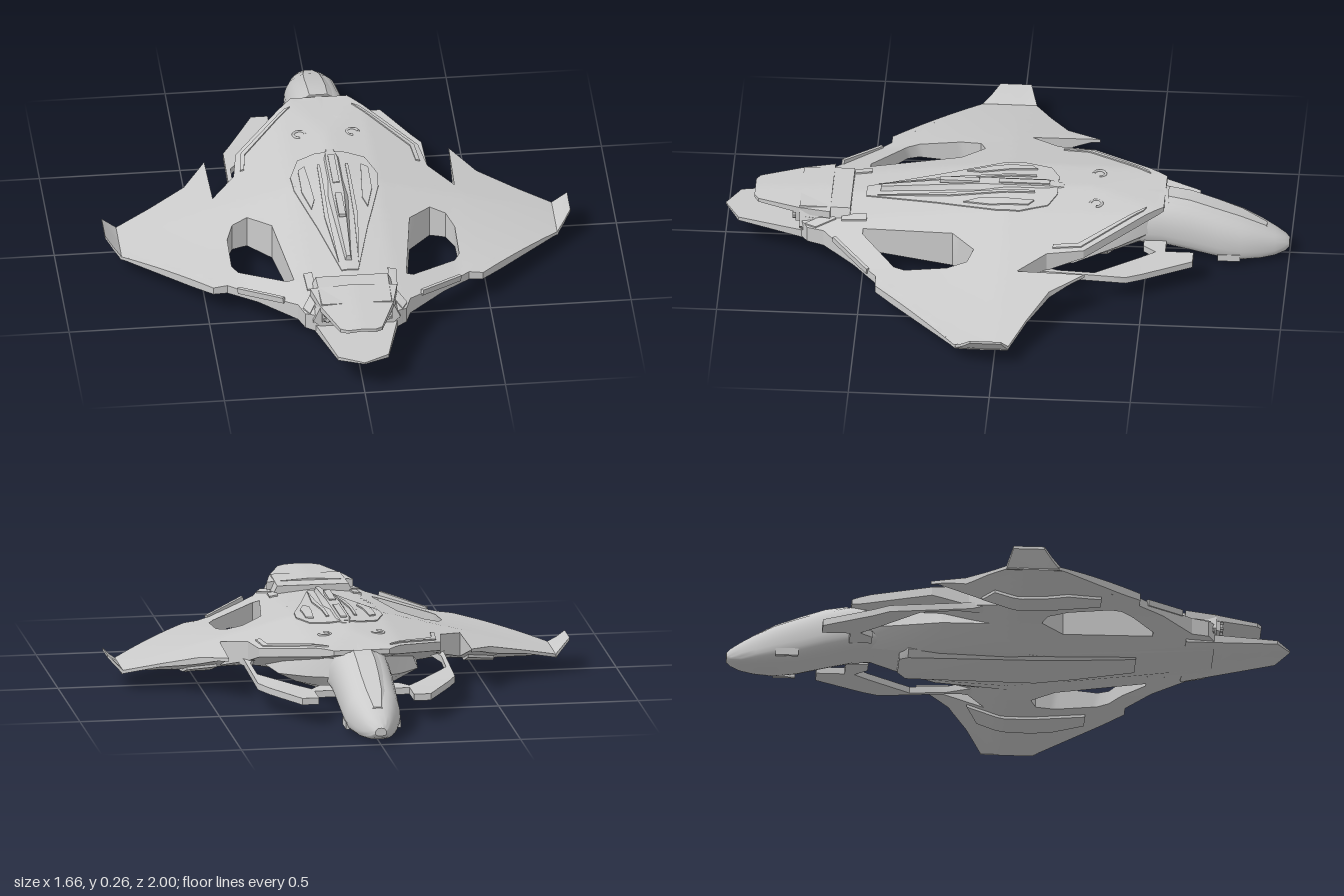
import * as THREE from 'three';
import { toCreasedNormals } from 'three/addons/utils/BufferGeometryUtils.js';

const material = new THREE.MeshStandardMaterial({ color: 0xcccccc, side: THREE.DoubleSide });

// Piecewise linear lookup in a list of [position, value]
function interp(table, v) {
  if (v <= table[0][0]) return table[0][1];
  for (let i = 1; i < table.length; i++) {
    const [a, p] = table[i - 1], [b, q] = table[i];
    if (v <= b) return p + (q - p) * (v - a) / (b - a);
  }
  return table[table.length - 1][1];
}

// Height rules of the wing shell
const crossTop = [[0, 0.25], [0.15, 0.235], [0.45, 0.157], [0.78, 0.068], [0.83, 0.125]];
const crossBottom = [[0, 0.03], [0.12, 0.03], [0.33, 0.06], [0.55, 0.052], [0.78, 0.055], [0.83, 0.115]];
const spine = [[-0.55, 0.238], [-0.3, 0.25], [0.15, 0.25], [0.4, 0.222], [0.9, 0.2]];
function shellTop(x, z) {
  const inboard = Math.max(0, 1 - Math.abs(x) / 0.78);
  return Math.min(interp(crossTop, Math.abs(x)) - 0.11 * Math.max(0, z) * Math.min(1, inboard * 2), interp(spine, z));
}
function shellBottom(x, z) {
  const rise = 0.34 * Math.max(0, -z) + 0.09 * Math.max(0, z - 0.1);
  return Math.min(interp(crossBottom, Math.abs(x)) + rise, shellTop(x, z) - 0.012);
}

// Splits long edges so that a flat plate can follow a curved rule
function subdivide(geometry, limit) {
  const p = geometry.toNonIndexed().attributes.position, out = [], stack = [];
  for (let i = 0; i < p.count; i += 3) stack.push([0, 1, 2].map(k => new THREE.Vector3().fromBufferAttribute(p, i + k)));
  while (stack.length) {
    const t = stack.pop();
    const lengths = t.map((v, k) => Math.hypot(v.x - t[(k + 1) % 3].x, v.z - t[(k + 1) % 3].z));
    const k = lengths.indexOf(Math.max(...lengths));
    if (lengths[k] <= limit) { t.forEach(v => out.push(v.x, v.y, v.z)); continue; }
    const a = t[k], b = t[(k + 1) % 3], c = t[(k + 2) % 3], m = a.clone().lerp(b, 0.5);
    stack.push([a, m, c], [m, b, c]);
  }
  return new THREE.BufferGeometry().setAttribute('position', new THREE.Float32BufferAttribute(out, 3));
}

// Plate from a plan outline in (x, z), with its two faces set by height rules
function plate(outline, holes, bottom, top, limit = 0.04) {
  const path = pts => pts.map(([x, z]) => new THREE.Vector2(x, -z));
  const shape = new THREE.Shape(path(outline));
  holes.forEach(h => shape.holes.push(new THREE.Path(path(h))));
  const flat = new THREE.ExtrudeGeometry(shape, { depth: 1, bevelEnabled: false, steps: 1 }).rotateX(-Math.PI / 2);
  const g = subdivide(flat, limit), p = g.attributes.position;
  for (let i = 0; i < p.count; i++) {
    const x = p.getX(i), z = p.getZ(i), t = p.getY(i);
    p.setY(i, bottom(x, z) * (1 - t) + top(x, z) * t);
  }
  return toCreasedNormals(g, 0.5);
}

// Loft along z: sections [z, halfWidth, bottom, top], profile in unit (u, v), anticlockwise
function loft(sections, profile, crease = 0.5) {
  const pos = [], idx = [], n = profile.length;
  for (const [z, w, b, t] of sections) for (const [u, v] of profile) pos.push(u * w, b + (t - b) * v, z);
  const last = (sections.length - 1) * n;
  for (let i = 0; i < last; i += n) for (let j = 0; j < n; j++) {
    const k = (j + 1) % n;
    idx.push(i + j, i + k, i + n + j, i + k, i + n + k, i + n + j);
  }
  for (let j = 1; j < n - 1; j++) idx.push(0, j + 1, j, last, last + j, last + j + 1);
  const g = new THREE.BufferGeometry().setAttribute('position', new THREE.Float32BufferAttribute(pos, 3));
  g.setIndex(idx);
  return toCreasedNormals(g, crease);
}

const flip = pts => pts.map(([x, z]) => [-x, z]);
const symmetric = half => [...half, ...flip(half).reverse()];

export function createModel() {
  const model = new THREE.Group();
  const add = (name, geometry, parent = model) => {
    const mesh = new THREE.Mesh(geometry, material);
    mesh.name = name;
    parent.add(mesh);
    return mesh;
  };
  const box = (name, w, h, d, x, y, z) => {
    const m = add(name, new THREE.BoxGeometry(w, h, d));
    m.position.set(x, y, z);
    return m;
  };

  // Wing shell with a large opening on each side
  const shell = symmetric([[0.1, -0.56], [0.14, -0.51], [0.325, -0.29], [0.345, -0.16], [0.43, -0.06], [0.435, -0.3],
    [0.52, -0.18], [0.65, -0.11], [0.78, -0.05], [0.78, 0.135], [0.48, 0.44], [0.43, 0.44], [0.2, 0.64], [0.18, 0.7], [0.14, 0.725]]);
  const opening = [[0.325, 0.1], [0.38, 0.12], [0.405, 0.19], [0.405, 0.34], [0.385, 0.38], [0.225, 0.5], [0.2, 0.5], [0.245, 0.18], [0.26, 0.165]];
  add('wingShell', plate(shell, [opening, flip(opening)], shellBottom, shellTop, 0.035));

  // Rounded nose and cockpit body
  const oval = [];
  for (let i = 0; i < 28; i++) {
    const a = i / 28 * Math.PI * 2, c = Math.cos(a), s = Math.sin(a);
    oval.push([Math.sign(c) * Math.abs(c) ** 0.75, s > 0 ? 0.35 + 0.65 * s ** 0.9 : 0.35 - 0.35 * Math.abs(s) ** 0.7]);
  }
  add('nose', loft([[-1, 0.02, 0.032, 0.06], [-0.985, 0.035, 0.02, 0.075], [-0.95, 0.055, 0.008, 0.097], [-0.9, 0.075, 0.001, 0.125],
    [-0.83, 0.096, 0, 0.158], [-0.75, 0.1, 0.01, 0.188], [-0.65, 0.104, 0.036, 0.221], [-0.55, 0.106, 0.06, 0.239],
    [-0.42, 0.115, 0.07, 0.244], [-0.25, 0.13, 0.06, 0.246]], oval, 0.7));

  // Raised canopy strip over the nose
  add('canopy', loft([[-0.92, 0.025, 0.09, 0.118], [-0.83, 0.05, 0.12, 0.163], [-0.74, 0.058, 0.15, 0.196],
    [-0.65, 0.06, 0.18, 0.227], [-0.57, 0.058, 0.2, 0.241]], [[-1, 0], [1, 0], [0.9, 0.65], [0.55, 1], [-0.55, 1], [-0.9, 0.65]]));

  // Faceted belly and flat keel
  const trough = [[-0.5, 0], [0.5, 0], [0.75, 0.18], [1, 0.45], [0.9, 1], [-0.9, 1], [-1, 0.45], [-0.75, 0.18]];
  add('belly', loft([[-0.52, 0.1, 0.075, 0.2], [-0.4, 0.17, 0.05, 0.18], [-0.25, 0.25, 0.035, 0.15], [0, 0.28, 0.028, 0.13],
    [0.17, 0.235, 0.035, 0.14], [0.45, 0.19, 0.058, 0.15], [0.72, 0.155, 0.085, 0.17]], trough, 0.3));
  add('keel', loft([[-0.39, 0.07, 0.03, 0.08], [-0.36, 0.11, 0.022, 0.08], [0.1, 0.12, 0.02, 0.08], [0.25, 0.1, 0.032, 0.08],
    [0.45, 0.07, 0.052, 0.09]], [[-0.8, 0], [0.8, 0], [1, 0.4], [1, 1], [-1, 1], [-1, 0.4]], 0.3));

  // Tail plates above and below the engine
  add('upperTailPlate', plate(symmetric([[0.155, 0.62], [0.13, 0.73], [0.075, 0.88], [0.05, 0.895]]), [],
    (x, z) => 0.19 - 0.1 * Math.abs(x), (x, z) => interp(spine, z) - 0.06 * Math.abs(x)));
  add('lowerTailPlate', plate(symmetric([[0.17, 0.62], [0.145, 0.72], [0.09, 0.95], [0, 1]]), [],
    (x, z) => 0.085 + 0.1 * (z - 0.65) - 0.05 * Math.abs(x), (x, z) => 0.112 + 0.04 * (z - 0.65)));

  // Engine housing and grille
  const hex = [[-0.75, 0], [0.75, 0], [1, 0.35], [0.8, 1], [-0.8, 1], [-1, 0.35]];
  add('engineHousing', loft([[0.55, 0.16, 0.1, 0.205], [0.73, 0.155, 0.1, 0.205]], hex, 0.2));
  box('engineGrille', 0.25, 0.045, 0.02, 0, 0.163, 0.735);
  for (let i = -4; i <= 4; i++) box('grilleSlat', 0.01, 0.04, 0.015, i * 0.027, 0.163, 0.748);
  for (const y of [0.153, 0.173]) box('grilleBar', 0.24, 0.006, 0.012, 0, y, 0.75);

  // Raised back panel with spine
  add('backPanel', plate(symmetric([[0.055, -0.18], [0.12, -0.15], [0.155, -0.05], [0.15, 0.03], [0.115, 0.16], [0.09, 0.25], [0.03, 0.5]]), [],
    (x, z) => shellTop(x, z) - 0.01, (x, z) => shellTop(x, z) + 0.004));
  add('spineFairing', loft([[-0.2, 0.02, 0.24, 0.25], [-0.14, 0.035, 0.24, 0.258], [0.1, 0.035, 0.24, 0.258], [0.45, 0.012, 0.2, 0.222]],
    [[-1, 0], [1, 0], [0.6, 1], [-0.6, 1]]));
  box('spineRail', 0.024, 0.012, 0.14, 0, 0.256, 0.17);
  box('spineRail', 0.024, 0.01, 0.18, 0, 0.257, -0.06);

  for (const s of [-1, 1]) {
    const side = pts => s > 0 ? pts : flip(pts);

    // Upturned wing tip
    add('wingTip', plate(side([[0.775, -0.053], [0.828, -0.03], [0.828, 0.08], [0.775, 0.14]]), [],
      x => interp(crossBottom, Math.abs(x)), x => interp(crossTop, Math.abs(x)), 0.06));

    // Forward fin with a slot between it and the shell
    const finHeight = (x, z) => 0.085 + 0.06 * Math.max(0, z + 0.5);
    add('forwardFin', plate(side([[0.09, -0.57], [0.17, -0.57], [0.17, -0.67], [0.23, -0.67], [0.353, -0.44], [0.358, -0.15],
      [0.39, -0.08], [0.3, -0.06], [0.342, -0.2], [0.338, -0.33], [0.175, -0.535], [0.14, -0.49], [0.09, -0.49]]), [],
      (x, z) => finHeight(x, z) - 0.012, (x, z) => finHeight(x, z) + 0.012, 0.08));

    // Fairing under the outer wing
    add('underwingFairing', plate(side([[0.45, -0.12], [0.55, -0.08], [0.57, 0.18], [0.53, 0.3], [0.46, 0.3]]), [],
      (x, z) => shellBottom(x, z) - 0.01, (x, z) => shellBottom(x, z) + 0.01));

    // Raised panel on the rear arm edge
    const arm = box('armPanel', 0.2, 0.022, 0.012, s * 0.32, 0.133, 0.536);
    arm.quaternion.setFromUnitVectors(new THREE.Vector3(s, 0, 0), new THREE.Vector3(s * 0.23, -0.05, -0.2).normalize());

    // Hook-shaped tie-downs behind the cockpit
    const hook = add('tieDown', new THREE.TorusGeometry(0.021, 0.005, 6, 20, Math.PI * 1.5));
    hook.rotation.x = -Math.PI / 2;
    hook.position.set(s * 0.095, shellTop(0.095, -0.32), -0.32);

    // Slim ribs, vents and clamps
    add('backRib', plate(side([[0.045, -0.1], [0.055, -0.1], [0.06, 0.2], [0.035, 0.46], [0.045, 0.2]]), [],
      shellBottom, (x, z) => shellTop(x, z) + 0.009));
    add('backVent', plate(side([[0.1, -0.1], [0.125, -0.08], [0.125, 0.05], [0.1, 0.15], [0.085, 0.1]]), [],
      shellBottom, (x, z) => shellTop(x, z) + 0.009));
    add('rearVent', plate(side([[0.135, 0.49], [0.165, 0.49], [0.16, 0.58], [0.13, 0.58]]), [],
      shellBottom, (x, z) => shellTop(x, z) + 0.006));
    add('tailClamp', plate(side([[0.12, 0.62], [0.15, 0.6], [0.185, 0.67], [0.165, 0.71]]), [],
      (x, z) => 0.1, (x, z) => shellTop(x, z) + 0.005));
    add('shellRib', plate(side([[0.11, -0.5], [0.13, -0.49], [0.31, -0.28], [0.32, -0.18], [0.305, -0.18], [0.295, -0.27]]), [],
      (x, z) => shellTop(x, z) - 0.01, (x, z) => shellTop(x, z) + 0.005));

    // Side sensor on the nose
    box('noseSensor', 0.012, 0.026, 0.08, s * 0.092, 0.03, -0.79);
  }
  return model;
}
